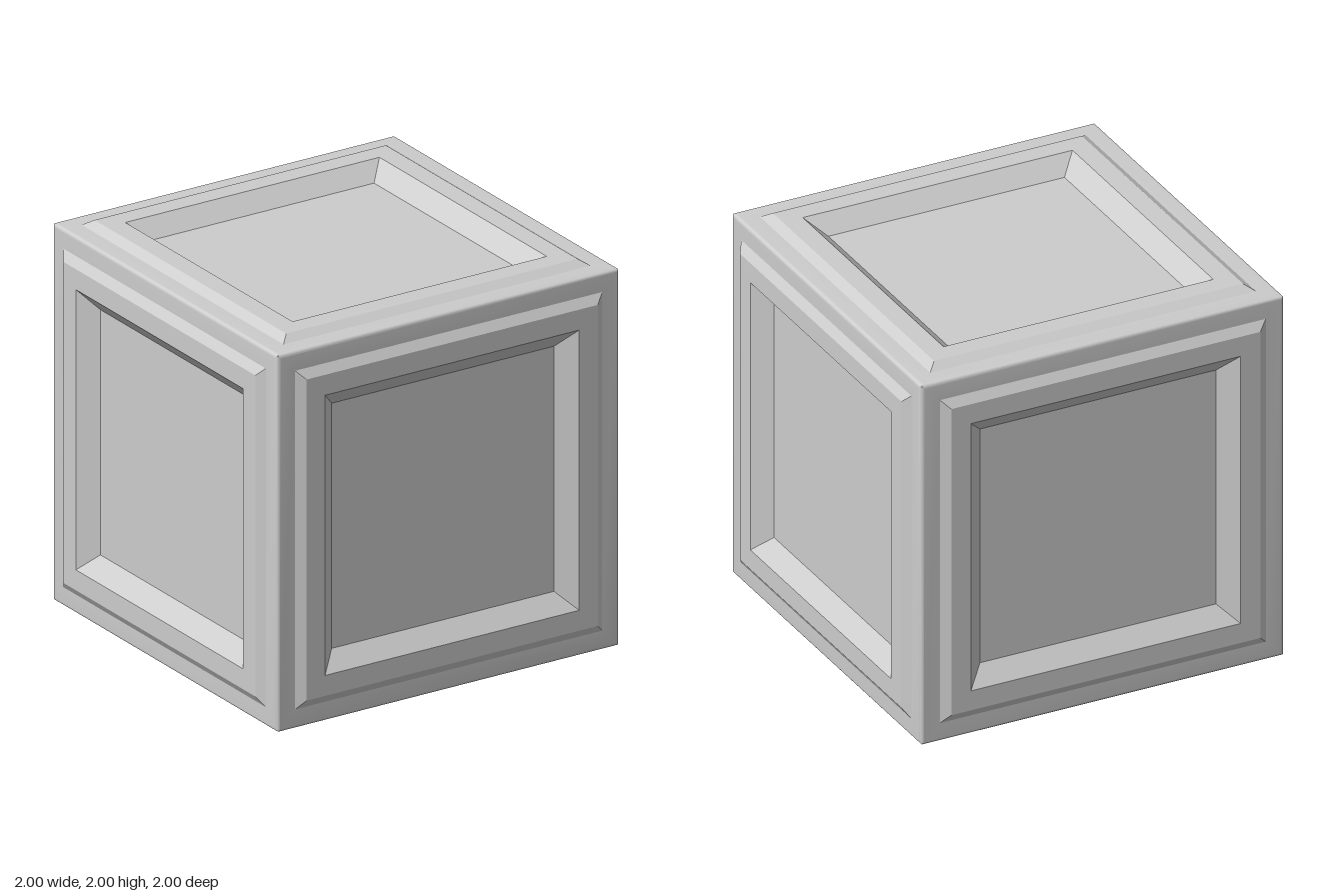
import * as THREE from 'three';
import { mergeGeometries, toCreasedNormals } from 'three/addons/utils/BufferGeometryUtils.js';

const BODY = 0.97;    // half size of the cube body
const ROUND = 0.02;   // radius of its edges
const FLOOR = 0.92;   // distance of the sunken panels from the centre
const PANEL = 0.63;   // half size of the sunken panels

// One side of the cube, facing +y, as square rings: [half width, height]
function sideGeometry() {
  const rings = [];
  for (let i = 3; i >= 0; i--) {
    const t = (i / 3) * (Math.PI / 4);
    rings.push([BODY - ROUND + ROUND * Math.sin(t), BODY - ROUND + ROUND * Math.cos(t)]);
  }
  // flat border, raised moulding, slope down to the panel
  rings.push([0.87, BODY], [0.825, 1], [0.72, 1], [PANEL, FLOOR]);
  const points = rings.map(([half, y]) => new THREE.Vector2(half * Math.SQRT2, y));
  return new THREE.LatheGeometry(points, 4, Math.PI / 4);
}

export function createModel() {
  const group = new THREE.Group();
  group.name = 'panelledCube';
  const grey = new THREE.MeshStandardMaterial({ color: 0xcccccc });
  grey.name = 'light grey';

  const h = Math.PI / 2;
  const sides = {
    top: [0, 0, 0], bottom: [Math.PI, 0, 0],
    front: [h, 0, 0], back: [-h, 0, 0],
    left: [0, 0, -h], right: [0, 0, h],
  };

  const frames = [];
  for (const [name, angles] of Object.entries(sides)) {
    const turn = new THREE.Matrix4().makeRotationFromEuler(new THREE.Euler(...angles));
    frames.push(sideGeometry().applyMatrix4(turn));

    // sunken panel
    const plane = new THREE.PlaneGeometry(PANEL * 2, PANEL * 2);
    plane.rotateX(-h).translate(0, FLOOR, 0).applyMatrix4(turn);
    const panel = new THREE.Mesh(plane, grey);
    panel.name = name + 'Panel';
    panel.position.y = 1;
    group.add(panel);
  }

  // frame of all six sides, joined so the rounded edges shade smoothly
  const frame = new THREE.Mesh(toCreasedNormals(mergeGeometries(frames), 0.5), grey);
  frame.name = 'frame';
  frame.position.y = 1;
  group.add(frame);
  return group;
}
